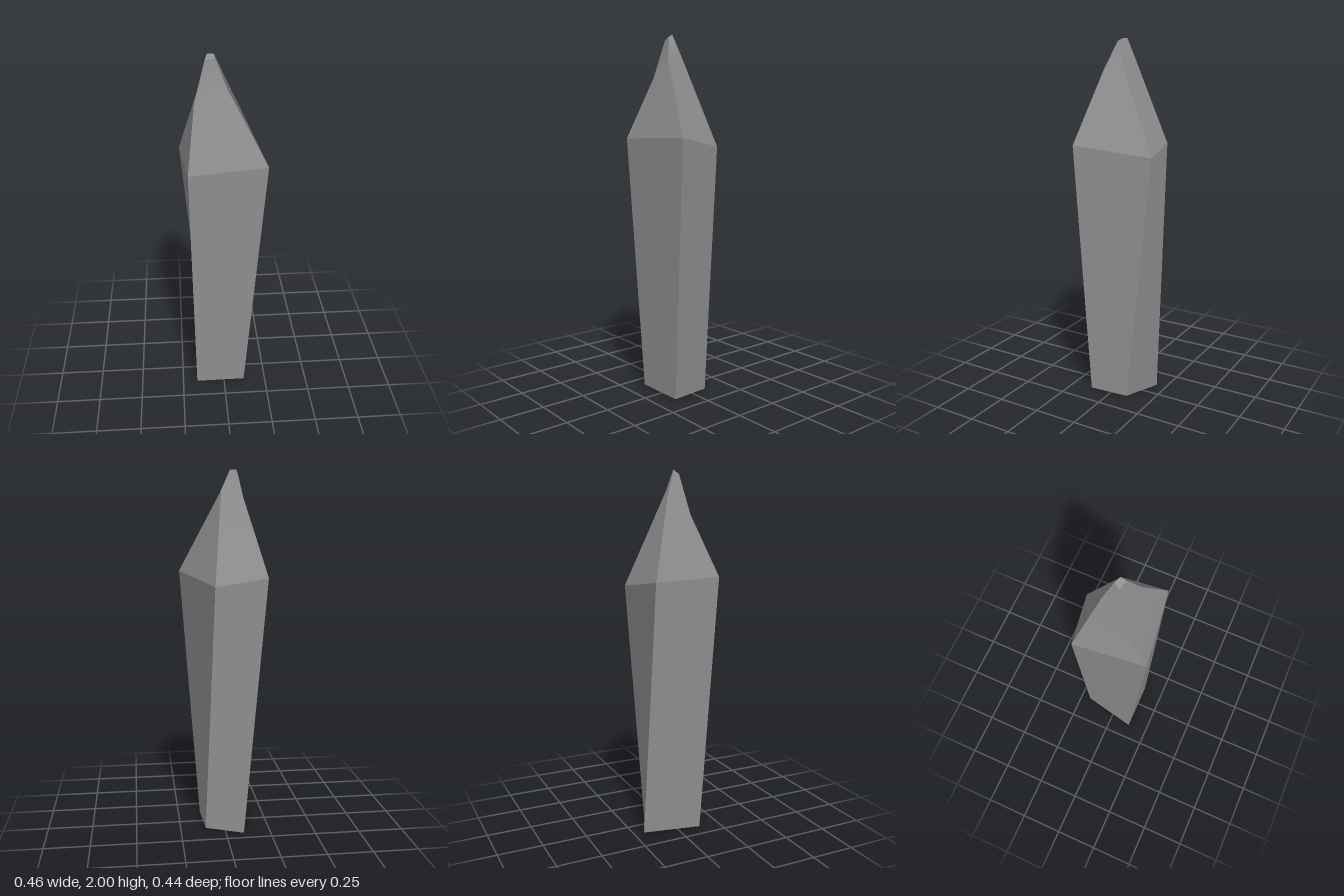
import * as THREE from 'three';

// Four-cornered rings from base to tip, each counter-clockwise seen from above,
// starting at the front corner on the -x side
const rings = [
  [[-0.165, 0, 0.13], [0.121, 0, 0.128], [0.107, 0, -0.1], [-0.1, 0, -0.19]], // open base
  [[-0.191, 1.44, 0.221], [0.227, 1.45, 0.163], [0.063, 1.39, -0.223], [-0.229, 1.43, -0.17]], // shoulder
  [[-0.147, 1.77, 0.067], [0.02, 1.84, 0.092], [0.006, 1.89, -0.003], [-0.105, 1.86, -0.046]], // upper taper
  [[-0.09, 1.975, 0.029], [-0.042, 1.985, 0.043], [-0.044, 2, 0.015], [-0.077, 2, 0.003]], // tip
].map((ring) => ring.map((p) => new THREE.Vector3(...p)));

// Area-weighted normal of a quad, from its diagonals
const quadNormal = (a, b, c, d) => c.clone().sub(a).cross(d.clone().sub(b));

function buildShard() {
  const pos = [], nor = [];
  // Quad a-b-c-d with one normal for its lower edge and one for its upper edge
  const quad = (a, b, c, d, low, high) => {
    for (const [p, n] of [[a, low], [b, low], [c, high], [a, low], [c, high], [d, high]]) {
      pos.push(...p);
      nor.push(...n);
    }
  };
  for (let i = 0; i < 4; i++) {
    const j = (i + 1) % 4;
    const panels = [0, 1, 2].map((r) => [rings[r][i], rings[r][j], rings[r + 1][j], rings[r + 1][i]]);
    const [body, taper, point] = panels.map((p) => quadNormal(...p));
    // Shading runs smoothly from the taper into the point, and stays crisp elsewhere
    const blend = taper.clone().add(point).normalize();
    [body, taper, point].forEach((n) => n.normalize());
    quad(...panels[0], body, body);
    quad(...panels[1], taper, blend);
    quad(...panels[2], blend, point);
  }
  // Small slanted facet closing the tip
  const cap = quadNormal(...rings[3]).normalize();
  quad(...rings[3], cap, cap);

  const geo = new THREE.BufferGeometry();
  geo.setAttribute('position', new THREE.Float32BufferAttribute(pos, 3));
  geo.setAttribute('normal', new THREE.Float32BufferAttribute(nor, 3));
  return geo;
}

export function createModel() {
  const group = new THREE.Group();
  group.name = 'crystal';
  // The shard is hollow and open underneath, so both sides show
  const material = new THREE.MeshStandardMaterial({ color: 0x909090, side: THREE.DoubleSide });
  const shard = new THREE.Mesh(buildShard(), material);
  shard.name = 'crystalShard';
  group.add(shard);
  return group;
}
